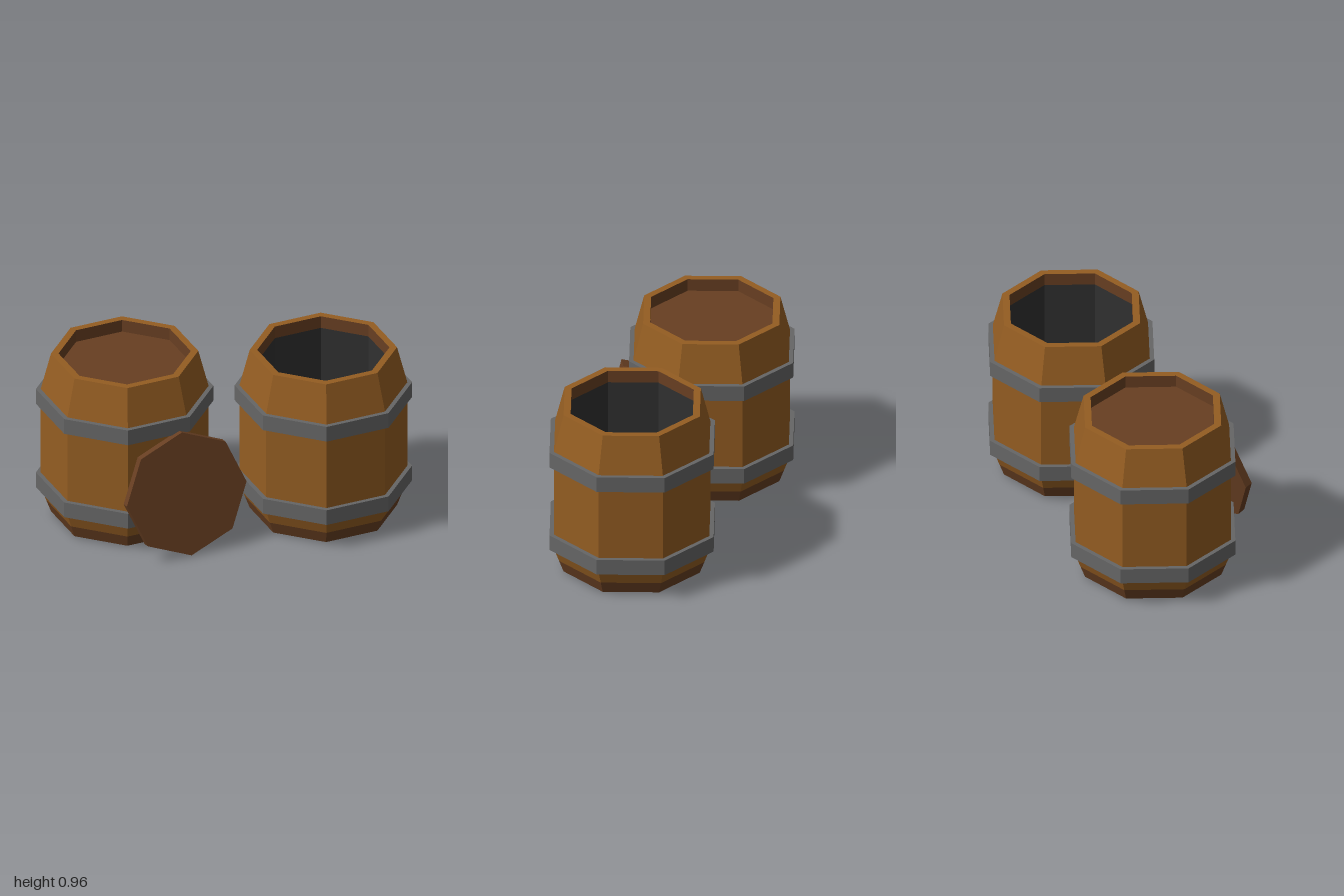
import * as THREE from 'three';

const mat = (name, color, side = THREE.FrontSide) => {
  const m = new THREE.MeshStandardMaterial({ color, side });
  m.name = name;
  return m;
};

export function createModel() {
  const wood = mat('oakWood', 0x945d22, THREE.DoubleSide);
  const dark = mat('darkWood', 0x683f22, THREE.DoubleSide);
  const iron = mat('ironBand', 0x666666);
  const shade = mat('cavityWall', 0x303030);
  const black = mat('cavityFloor', 0x0e0e0e);

  // Eight-sided turned part with hard facets; profile is a list of [radius, y]
  const turn = (name, material, profile) => {
    const pts = profile.map(([r, y]) => new THREE.Vector2(r, y));
    const geo = new THREE.LatheGeometry(pts, 8).toNonIndexed();
    geo.computeVertexNormals();
    const mesh = new THREE.Mesh(geo, material);
    mesh.name = name;
    return mesh;
  };

  const barrel = (name, x, open) => {
    const g = new THREE.Group();
    g.name = name;
    g.position.set(x, 0, -0.055);

    // Staves, darker foot and inner lip
    g.add(turn('staves', wood, [[0.416, 0.085], [0.445, 0.165], [0.445, 0.755], [0.39, 0.97], [0.35, 0.97]]));
    g.add(turn('foot', dark, [[0.39, 0.015], [0.416, 0.085]]));
    g.add(turn('innerLip', dark, [[0.35, 0.97], [0.35, 0.9]]));

    // Iron hoops
    for (const [y0, y1] of [[0.163, 0.252], [0.668, 0.757]]) {
      g.add(turn('hoop', iron, [[0.43, y0], [0.47, y0], [0.47, y1], [0.43, y1], [0.43, y0]]));
    }

    if (open) {
      // Hollow inside and closed base
      g.add(turn('cavityWall', shade, [[0.35, 0.9], [0.35, 0.1]]));
      g.add(turn('cavityFloor', black, [[0.35, 0.1], [0, 0.1]]));
      g.add(turn('base', dark, [[0, 0.015], [0.39, 0.015]]));
    } else {
      // Recessed lid
      g.add(turn('fittedLid', dark, [[0.35, 0.9], [0, 0.9]]));
    }
    return g;
  };

  const model = new THREE.Group();
  model.name = 'barrels';
  model.add(barrel('closedBarrel', -0.527, false), barrel('openBarrel', 0.525, true));

  // Loose lid leaning against the closed barrel
  const t = 0.0225;
  const lid = turn('looseLid', dark, [[0, -t], [0.345, -t], [0.345, t], [0, t]]);
  lid.geometry.rotateX(Math.PI / 2);
  lid.rotation.set(-0.19, 0.372, 0, 'YXZ');
  lid.position.set(-0.223, 0.349, 0.37);
  model.add(lid);

  return model;
}
